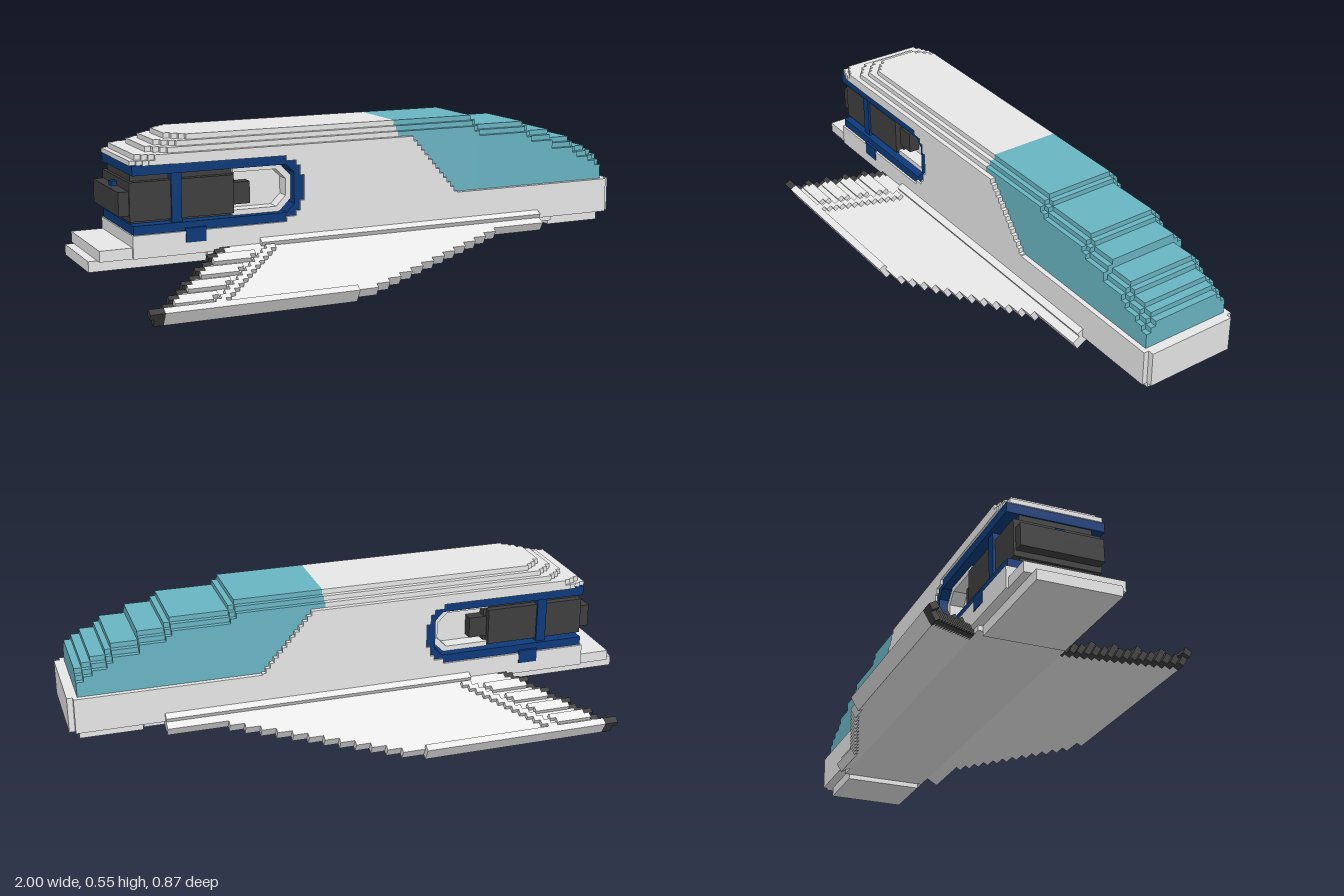
import * as THREE from 'three';

const mat = (name, color) => {
  const m = new THREE.MeshStandardMaterial({ color });
  m.name = name;
  return m;
};

export function createModel() {
  const grey = mat('hullGrey', 0xe8e8e8);
  const teal = mat('canopyTeal', 0x69b5c3);
  const blue = mat('trimBlue', 0x0c3a7a);
  const dark = mat('engineDark', 0x3e3e3e);
  const U = 0.0179; // one block unit

  const model = new THREE.Group();
  model.name = 'blockyShuttle';

  const group = name => {
    const g = new THREE.Group();
    g.name = name;
    model.add(g);
    return g;
  };
  // box from min/max corners
  const box = (parent, name, m, x0, x1, y0, y1, z0, z1) => {
    const mesh = new THREE.Mesh(new THREE.BoxGeometry(x1 - x0, y1 - y0, z1 - z0), m);
    mesh.position.set((x0 + x1) / 2, (y0 + y1) / 2, (z0 + z1) / 2);
    mesh.name = name;
    parent.add(mesh);
  };
  // box centred across the ship
  const slab = (parent, name, m, x0, x1, y0, y1, half) => box(parent, name, m, x0, x1, y0, y1, -half, half);

  // lower hull, nose, belly, keels and stepped stern
  const hull = group('hull');
  slab(hull, 'lowerHull', grey, -0.86, 0.98, 0.163, 0.24, 0.178);
  slab(hull, 'noseBlock', grey, 0.2, 0.98, 0.24, 0.287, 0.178);
  slab(hull, 'noseCap', grey, 0.98, 1.0, 0.163, 0.287, 0.16);
  slab(hull, 'belly', grey, -0.6, 0.75, 0.145, 0.163, 0.16);
  slab(hull, 'noseKeel', grey, 0.75, 0.965, 0.127, 0.163, 0.143);
  slab(hull, 'sternKeel', grey, -1.0, -0.6, 0.127, 0.163, 0.143);
  slab(hull, 'sternStep', grey, -0.97, -0.86, 0.163, 0.2, 0.17);

  // upper hull in rows: slanted front edge, round-ended engine bay at the stern
  const bayLow = 0.24, bayHigh = 0.466;
  const bayEnd = y => {
    const t = Math.abs((y - (bayLow + bayHigh) / 2) / ((bayHigh - bayLow) / 2));
    return t > 0.85 ? -0.32 : t > 0.65 ? -0.285 : t > 0.45 ? -0.27 : -0.255;
  };
  const rows = Math.round((0.5 - bayLow) / U);
  const h = (0.5 - bayLow) / rows;
  for (let i = 0; i < rows; i++) {
    const y0 = bayLow + i * h, y = y0 + h / 2;
    const front = 0.11 + (0.553 - y) / 0.268 * 0.23;
    slab(hull, 'hullRow', grey, y < bayHigh ? bayEnd(y) : -0.72, Math.min(front, 0.34), y0, y0 + h, 0.178);
  }

  // roof rows, with rounded stern corners; the lower deck is squarer
  const roof = group('roof');
  [[-0.86, 0.466, 0.482, 0.178, 0.3], [-0.84, 0.482, 0.5, 0.178, 0.5], [-0.79, 0.5, 0.518, 0.16, 0.9],
    [-0.755, 0.518, 0.535, 0.142, 0.9], [-0.715, 0.535, 0.553, 0.125, 0.9]].forEach(([rear, y0, y1, half, round]) => {
    const steps = [[0, 0.06], [0.02, 0.035], [0.04, 0.018], [0.06, 0]];
    steps.forEach(([dx, inset], i) => {
      const end = i < 3 ? rear + steps[i + 1][0] : y0 < 0.5 ? -0.6 : 0.11;
      slab(roof, 'roofRow', grey, rear + dx, end, y0, y1, half - inset * round);
    });
  });

  // stepped canopy: each segment has chamfered shoulders
  const canopy = group('canopy');
  let x = 0.11;
  [[0.42, 0.553], [0.44, 0.535], [0.64, 0.518], [0.66, 0.5], [0.75, 0.482], [0.84, 0.45],
    [0.86, 0.43], [0.91, 0.411], [0.94, 0.393], [0.965, 0.375]].forEach(([end, top]) => {
    slab(canopy, 'canopySide', teal, x, end, 0.287, top - 2 * U, 0.16);
    slab(canopy, 'canopyShoulder', teal, x, end, top - 2 * U, top - U, 0.143);
    slab(canopy, 'canopyTop', teal, x, end, top - U, top, 0.125);
    x = end;
  });

  // U-shaped bay lining, open at the stern
  const bay = group('engineBay');
  const lining = (name, m, rear, front, low, high, t, half) => {
    const c = 0.045;
    const s = new THREE.Shape();
    s.moveTo(rear, low);
    [[front - c, low], [front, low + c], [front, high - c], [front - c, high], [rear, high],
      [rear, high - t], [front - c - t / 2, high - t], [front - t, high - c - t / 2],
      [front - t, low + c + t / 2], [front - c - t / 2, low + t], [rear, low + t]]
      .forEach(p => s.lineTo(p[0], p[1]));
    const g = new THREE.ExtrudeGeometry(s, { depth: 2 * half, bevelEnabled: false });
    g.translate(0, 0, -half);
    const mesh = new THREE.Mesh(g, m);
    mesh.name = name;
    bay.add(mesh);
  };
  lining('bayRim', blue, -0.855, -0.256, 0.236, 0.468, 0.034, 0.17);
  lining('bayInnerRim', grey, -0.5, -0.289, 0.268, 0.436, 0.02, 0.14);
  slab(bay, 'bayBackWall', grey, -0.5, -0.3, 0.272, 0.432, 0.09);

  // engine filling the bay, with blue straps
  const engine = group('engine');
  slab(engine, 'nozzle', dark, -0.895, -0.86, 0.3, 0.38, 0.143);
  slab(engine, 'nozzleStud', blue, -0.88, -0.85, 0.38, 0.395, 0.015);
  slab(engine, 'rearBlock', dark, -0.86, -0.72, 0.28, 0.41, 0.15);
  slab(engine, 'rearCore', dark, -0.85, -0.72, 0.262, 0.442, 0.125);
  slab(engine, 'strap', blue, -0.72, -0.685, 0.25, 0.455, 0.158);
  slab(engine, 'frontBlock', dark, -0.685, -0.5, 0.28, 0.41, 0.15);
  slab(engine, 'frontCore', dark, -0.685, -0.49, 0.262, 0.442, 0.125);
  slab(engine, 'intake', dark, -0.5, -0.435, 0.305, 0.38, 0.13);
  slab(engine, 'engineFeet', blue, -0.68, -0.61, 0.202, 0.25, 0.18);

  // wings, drooping 30 degrees, built from strips running along the ship
  for (const side of [1, -1]) {
    const wing = group(side > 0 ? 'leftWing' : 'rightWing');
    wing.position.set(0, 0.15, side * 0.15);
    wing.rotation.x = side * Math.PI / 6;
    const strip = (name, m, x0, x1, y0, y1, s0, s1) =>
      box(wing, name, m, x0, x1, y0, y1, Math.min(side * s0, side * s1), Math.max(side * s0, side * s1));
    const n = 16, w = 0.3 / n;
    for (let i = 0; i < n; i++) {
      const s = i * w, t = (i + 0.5) / n;
      const front = i < 3 ? 0.68 : i > 14 ? -0.17 : 0.47 - (i - 3) / 11 * 0.56;
      const rear = -0.52 - 0.33 * t;
      strip('wingStrip', grey, rear, front, 0, 0.035, s, s + w);
      strip('wingTip', dark, rear - 0.035, rear, 0, 0.035, s, s + w);
      // raised trailing feathers and stepped diagonal ridge
      if (i > 1 && i < 15) {
        const ridge = -0.4 - (i - 3) / 11 * 0.23;
        strip('wingRidge', grey, ridge - 0.035, ridge, 0.035, 0.052, s, s + w);
        if (i % 3 !== 2) strip('wingFeather', grey, rear, ridge - 0.06, 0.035, 0.052, s, s + w);
        if (i % 3 === 0) strip('featherTip', dark, rear - 0.035, rear, 0.035, 0.052, s, s + w);
      }
    }
    strip('rootRail', grey, -0.42, 0.68, 0.035, 0.052, 0, 0.027);
    strip('tipRail', grey, -0.84, -0.17, 0.035, 0.052, 0.274, 0.3);
    strip('tipCap', dark, -0.89, -0.84, 0.03, 0.052, 0.274, 0.3);
  }
  return model;
}
